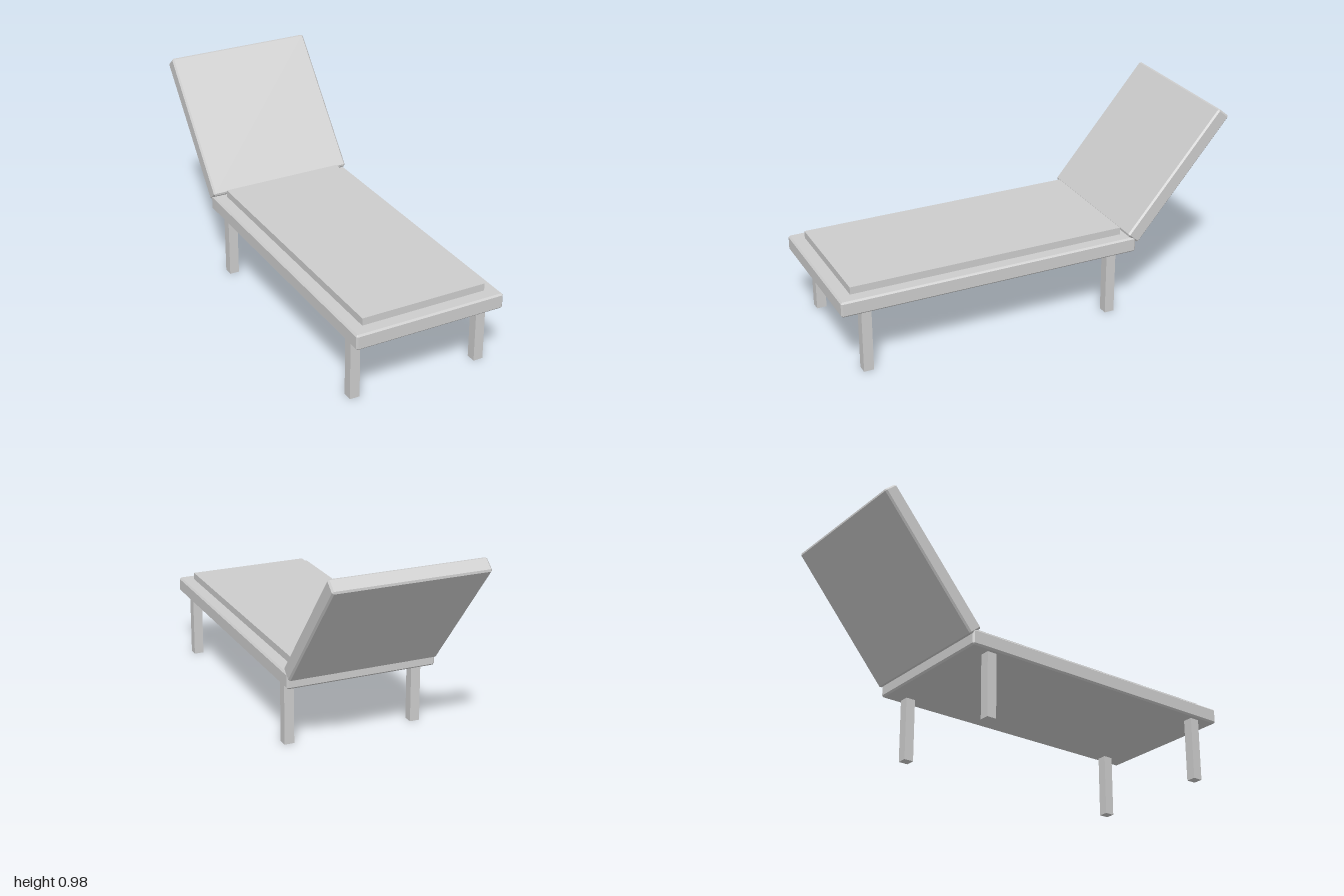
import * as THREE from 'three';
import { ConvexGeometry } from 'three/addons/geometries/ConvexGeometry.js';

// Box with all its edges and corners chamfered by c
function chamferBox(w, h, d, c) {
  const points = [];
  for (const x of [-w / 2, w / 2]) for (const y of [-h / 2, h / 2]) for (const z of [-d / 2, d / 2]) {
    const sx = Math.sign(x) * c, sy = Math.sign(y) * c, sz = Math.sign(z) * c;
    points.push(
      new THREE.Vector3(x, y - sy, z - sz),
      new THREE.Vector3(x - sx, y, z - sz),
      new THREE.Vector3(x - sx, y - sy, z));
  }
  return new ConvexGeometry(points);
}

export function createModel() {
  const group = new THREE.Group();
  group.name = 'sunLounger';
  const grey = new THREE.MeshStandardMaterial({ color: 0xcccccc });
  grey.name = 'light grey';

  const add = (name, geometry, x, y, z) => {
    const mesh = new THREE.Mesh(geometry, grey);
    mesh.name = name;
    mesh.position.set(x, y, z);
    group.add(mesh);
    return mesh;
  };

  // Bed frame and the thin cushion lying on it
  add('frame', chamferBox(0.755, 0.076, 1.51, 0.008), 0, 0.356, 0.245);
  add('cushion', new THREE.BoxGeometry(0.63, 0.04, 1.39), 0, 0.41, 0.24);

  // Backrest, leaning back 40 degrees from upright
  const backrest = add('backrest', chamferBox(0.755, 0.75, 0.075, 0.008), 0, 0.673, -0.735);
  backrest.rotation.x = -THREE.MathUtils.degToRad(40);

  // Four square legs
  const leg = new THREE.BoxGeometry(0.049, 0.32, 0.049);
  for (const [end, z] of [['front', 0.875], ['back', -0.388]])
    for (const [side, x] of [['Left', 0.328], ['Right', -0.328]])
      add(`${end}${side}Leg`, leg, x, 0.16, z);

  return group;
}
